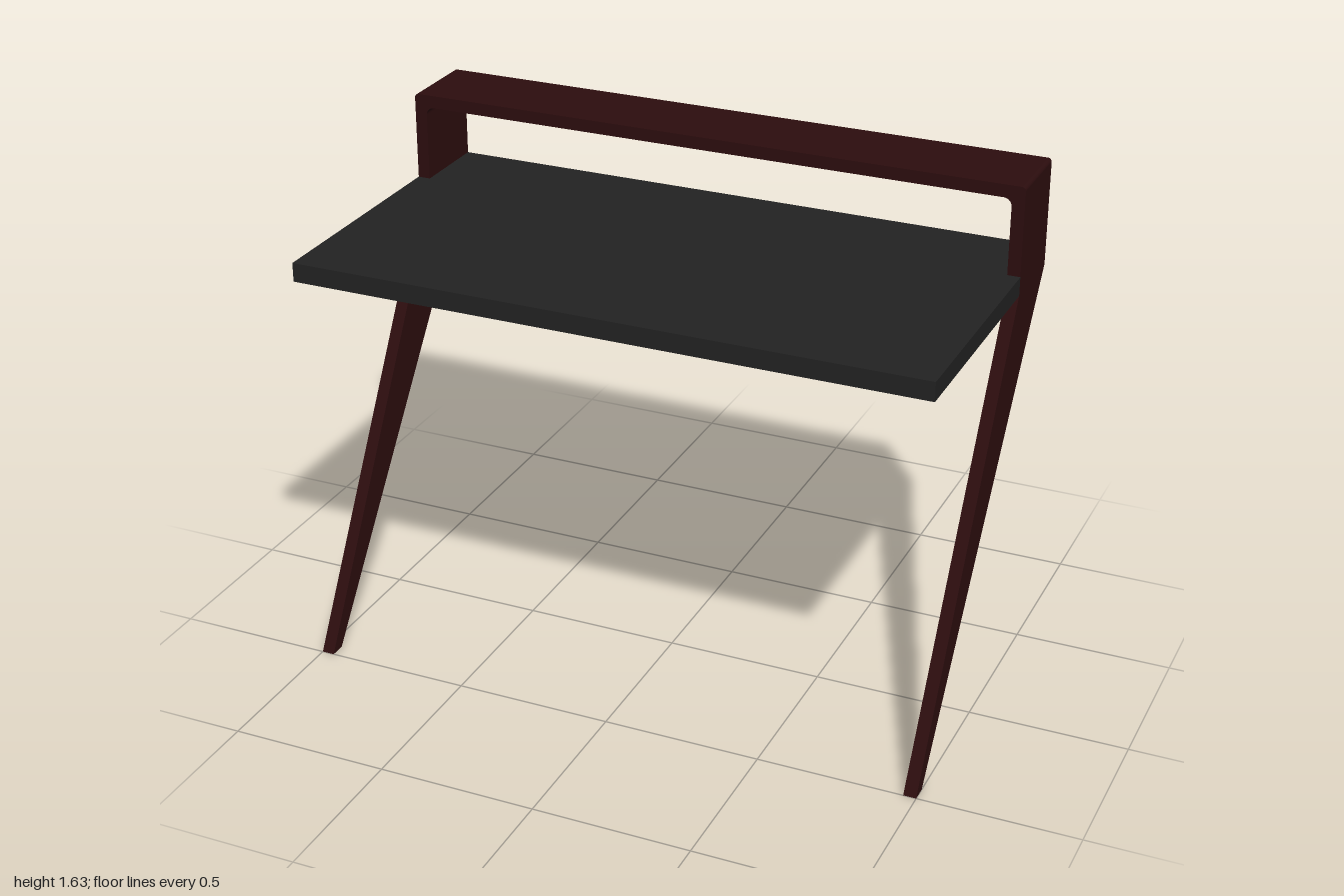
import * as THREE from 'three';

const BACK = -0.515, MID = -0.255, FRONT = 0.515; // z stations
const TOP = 1.635, KNEE = 1.295, T = 0.04;        // heights and frame thickness

function polygon(points) {
  return new THREE.Shape(points.map(([x, y]) => new THREE.Vector2(x, y)));
}

// Upside-down U with rounded corners, running across the back of the desk
function archGeometry() {
  const r = 0.012, f = 0.025, xi = 1 - T, yi = TOP - T;
  const s = new THREE.Shape();
  s.moveTo(-1, KNEE);
  s.lineTo(-xi, KNEE);
  s.lineTo(-xi, yi - f);
  s.absarc(-xi + f, yi - f, f, Math.PI, Math.PI / 2, true);
  s.lineTo(xi - f, yi);
  s.absarc(xi - f, yi - f, f, Math.PI / 2, 0, true);
  s.lineTo(xi, KNEE);
  s.lineTo(1, KNEE);
  s.lineTo(1, TOP - r);
  s.absarc(1 - r, TOP - r, r, 0, Math.PI / 2, false);
  s.lineTo(-1 + r, TOP);
  s.absarc(-1 + r, TOP - r, r, Math.PI / 2, Math.PI, false);
  s.closePath();
  const g = new THREE.ExtrudeGeometry(s, { depth: MID - BACK, bevelEnabled: false, curveSegments: 6 });
  return g.translate(0, 0, BACK);
}

// Tapered leg sweeping forward from the arch to the floor (profile in -z, y)
function legGeometry() {
  const s = polygon([[-0.5, 0], [-0.45, 0], [-BACK, KNEE], [-MID, KNEE]]);
  const g = new THREE.ExtrudeGeometry(s, { depth: T, bevelEnabled: false });
  return g.translate(0, 0, -T / 2).rotateY(Math.PI / 2);
}

// Worktop: full width in front, notched between the uprights behind
function worktopGeometry() {
  const xi = 1 - T;
  const s = polygon([
    [-1, -FRONT], [1, -FRONT], [1, -MID], [xi, -MID],
    [xi, -BACK], [-xi, -BACK], [-xi, -MID], [-1, -MID],
  ]);
  const g = new THREE.ExtrudeGeometry(s, { depth: 0.06, bevelEnabled: false });
  return g.rotateX(-Math.PI / 2).translate(0, KNEE, 0);
}

export function createModel() {
  const wood = new THREE.MeshStandardMaterial({ color: 0x2c0d0e });
  wood.name = 'darkRedWood';
  const board = new THREE.MeshStandardMaterial({ color: 0x222222 });
  board.name = 'charcoalBoard';

  const group = new THREE.Group();
  group.name = 'desk';
  const add = (name, geometry, material, x = 0) => {
    const mesh = new THREE.Mesh(geometry, material);
    mesh.name = name;
    mesh.position.x = x;
    group.add(mesh);
  };

  add('arch', archGeometry(), wood);
  const leg = legGeometry();
  add('leftLeg', leg, wood, 1 - T / 2);
  add('rightLeg', leg, wood, -1 + T / 2);
  add('worktop', worktopGeometry(), board);
  return group;
}
